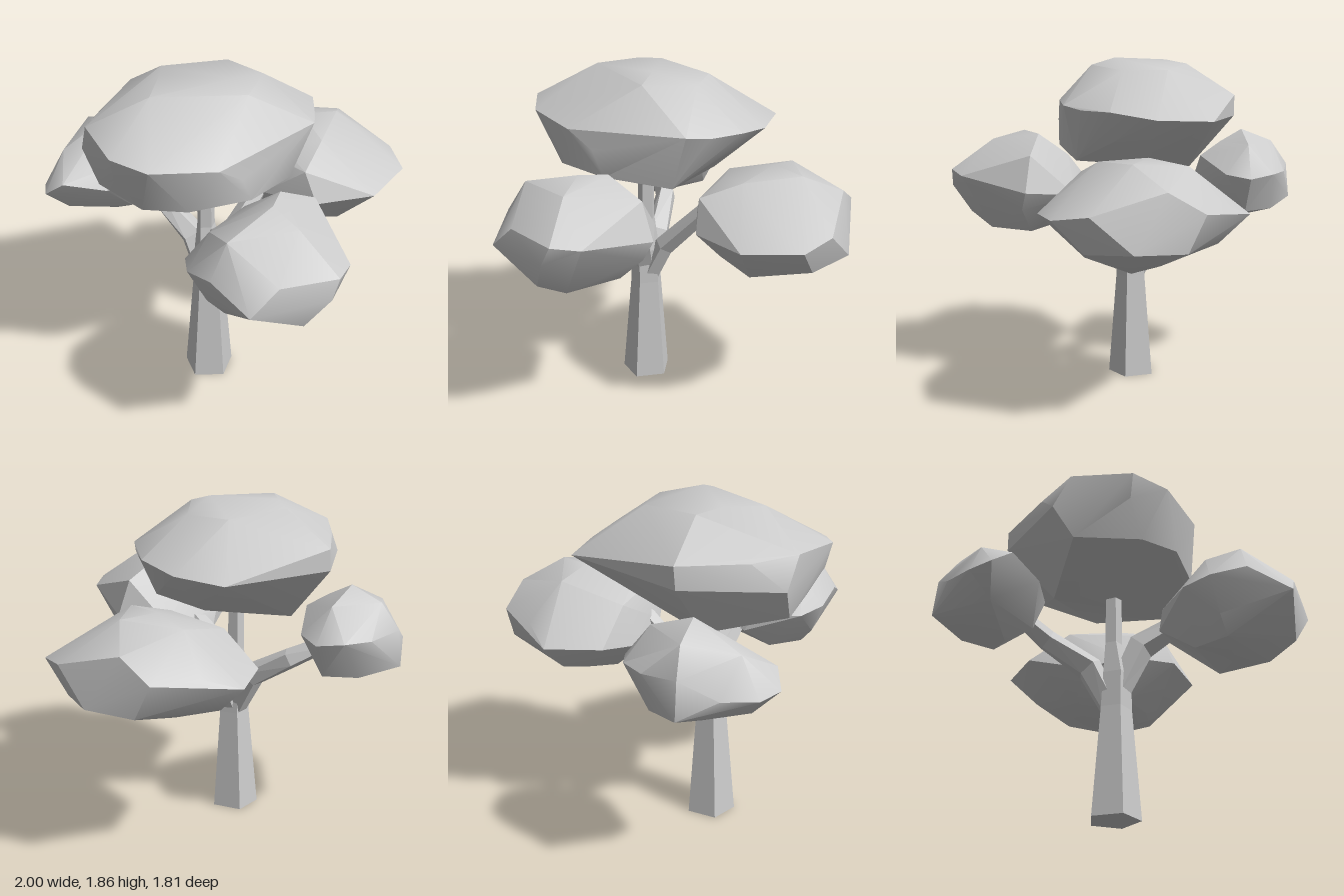
import * as THREE from 'three';
import { ConvexGeometry } from 'three/addons/geometries/ConvexGeometry.js';
import { toCreasedNormals } from 'three/addons/utils/BufferGeometryUtils.js';

const SIDES = 5;
const V = (x, y, z) => new THREE.Vector3(x, y, z);

// Tapered five-sided limb through [x, y, z, radius] stations, capped at both ends
function limb(stations) {
  const centres = stations.map(([x, y, z]) => V(x, y, z));
  const pos = [], index = [];
  const last = stations.length - 1;
  stations.forEach((s, i) => {
    const dir = centres[Math.min(i + 1, last)].clone().sub(centres[Math.max(i - 1, 0)]).normalize();
    if (i === 0 && s[1] === 0) dir.set(0, 1, 0); // flat on the ground
    const q = new THREE.Quaternion().setFromUnitVectors(V(0, 1, 0), dir);
    for (let k = 0; k < SIDES; k++) {
      const a = 1.35 + (k / SIDES) * Math.PI * 2;
      const p = V(Math.cos(a) * s[3], 0, Math.sin(a) * s[3]).applyQuaternion(q).add(centres[i]);
      pos.push(p.x, p.y, p.z);
    }
  });
  for (let i = 0; i < last; i++) {
    for (let k = 0; k < SIDES; k++) {
      const a = i * SIDES + k, b = i * SIDES + (k + 1) % SIDES;
      index.push(a, a + SIDES, b, b, a + SIDES, b + SIDES);
    }
  }
  const top = last * SIDES;
  for (let k = 1; k < SIDES - 1; k++) {
    index.push(0, k, k + 1, top, top + k + 1, top + k);
  }
  const g = new THREE.BufferGeometry();
  g.setAttribute('position', new THREE.Float32BufferAttribute(pos, 3));
  g.setIndex(index);
  g.computeVertexNormals();
  return g;
}

// Faceted leaf clump wrapped around a few corner points
function clump(points) {
  const g = new ConvexGeometry(points.map((p) => V(...p)));
  return toCreasedNormals(g, 0.55);
}

const LIMBS = {
  trunk: [[-0.04, 0, 0.295, 0.14], [-0.035, 0.6, 0.285, 0.09], [-0.03, 0.8, 0.285, 0.082],
    [-0.045, 0.98, 0.285, 0.05], [-0.045, 1.4, 0.28, 0.045]],
  leftBranch: [[-0.02, 0.7, 0.29, 0.065], [0.1, 0.97, 0.29, 0.08], [0.38, 1.15, 0.36, 0.05]],
  rightBranch: [[-0.05, 0.6, 0.28, 0.06], [-0.17, 0.84, 0.27, 0.075], [-0.4, 0.98, 0.3, 0.06],
    [-0.58, 1.08, 0.42, 0.045]],
  backBranch: [[-0.03, 0.62, 0.27, 0.06], [-0.02, 0.83, 0.165, 0.06], [0, 1.1, -0.1, 0.05], [0, 1.2, -0.25, 0.04]],
};

const CLUMPS = {
  topFoliage: [
    [0.07, 1.86, 0.19], [-0.24, 1.84, 0.4], [-0.35, 1.82, 0.3], [0.2, 1.82, 0.2], [-0.1, 1.83, 0.58],
    [-0.2, 1.8, -0.03], [0.05, 1.8, -0.05],
    [-0.63, 1.64, 0.29], [-0.63, 1.52, 0.3], [-0.46, 1.64, 0.62], [-0.41, 1.5, 0.79], [-0.32, 1.67, 0.82],
    [-0.01, 1.65, 0.91], [-0.02, 1.52, 0.88], [0.18, 1.62, 0.83], [0.37, 1.6, 0.55], [0.38, 1.5, 0.41],
    [0.37, 1.62, -0.1], [0.28, 1.6, -0.2], [0.14, 1.6, -0.33], [-0.1, 1.56, -0.38], [-0.4, 1.55, -0.36],
    [-0.48, 1.55, 0.05],
    [-0.3, 1.33, 0.78], [0.05, 1.34, 0.78], [0.25, 1.36, 0.65], [0.1, 1.26, 0.4], [0.38, 1.36, 0.35],
    [0.3, 1.31, 0], [-0.1, 1.31, -0.1], [-0.37, 1.21, 0.35],
  ],
  leftFoliage: [
    [0.58, 1.44, 0.4], [0.5, 1.43, 0.27], [0.76, 1.39, 0.4], [0.58, 1.37, 0.7], [0.55, 1.33, 0.07],
    [0.33, 1.3, 0.35], [0.4, 1.32, 0.65],
    [0.58, 1.13, 0], [0.72, 1.2, 0.12], [0.94, 1.2, 0.23], [1, 1.22, 0.37], [1, 1.12, 0.42],
    [0.87, 1.23, 0.64], [0.82, 1.1, 0.78], [0.58, 1.2, 0.81], [0.39, 1.15, 0.79], [0.27, 1.12, 0.7],
    [0.2, 1.12, 0.45], [0.19, 1.02, 0.4], [0.3, 1.1, 0.1],
    [0.9, 0.95, 0.5], [0.78, 0.87, 0.4], [0.58, 0.85, 0.45], [0.36, 0.88, 0.5], [0.5, 0.88, 0.65],
    [0.55, 0.88, 0.2], [0.6, 1.03, 0.05], [0.45, 0.97, 0.72],
  ],
  rightFoliage: [
    [-0.7, 1.43, 0.42], [-0.88, 1.36, 0.42], [-0.57, 1.36, 0.4], [-0.7, 1.36, 0.2], [-0.76, 1.3, 0.68],
    [-0.98, 1.22, 0.44], [-0.92, 1.2, 0.24], [-0.83, 1.2, 0.11], [-0.69, 1.18, 0.06], [-0.56, 1.2, 0.13],
    [-0.45, 1.28, 0.38], [-0.42, 1.12, 0.46], [-0.46, 1.15, 0.63], [-0.6, 1.2, 0.81], [-0.7, 1.12, 0.86],
    [-0.81, 1.1, 0.79], [-0.92, 1.12, 0.63],
    [-1, 1.02, 0.44], [-0.48, 0.97, 0.45], [-0.62, 0.89, 0.45], [-0.78, 0.94, 0.5], [-0.7, 0.98, 0.72],
    [-0.85, 0.98, 0.25], [-0.68, 0.98, 0.16],
  ],
  backFoliage: [
    [-0.05, 1.38, -0.45], [0.05, 1.37, -0.63], [0.2, 1.35, -0.35], [-0.25, 1.34, -0.5], [0.05, 1.31, -0.2],
    [-0.25, 1.25, -0.14], [0.28, 1.27, -0.14],
    [-0.58, 1.08, -0.45], [-0.43, 1.15, -0.61], [-0.29, 1.15, -0.83], [-0.1, 1.26, -0.82], [0.07, 0.97, -0.9],
    [0.28, 1.15, -0.85], [0.46, 1.12, -0.75], [0.52, 1.1, -0.44], [0.36, 1.1, -0.15], [-0.48, 1.08, -0.16],
    [0.05, 1.08, -0.05], [-0.15, 1, -0.06],
    [-0.2, 0.96, -0.84], [0.3, 0.95, -0.76], [-0.42, 0.92, -0.42], [-0.12, 0.8, -0.4], [0.08, 0.78, -0.4],
    [0.05, 0.8, -0.55], [0.28, 0.86, -0.42], [0.1, 0.87, -0.2], [-0.2, 0.88, -0.2],
  ],
};

export function createModel() {
  const tree = new THREE.Group();
  tree.name = 'tree';
  const bark = new THREE.MeshStandardMaterial({ color: 0xcccccc, flatShading: true });
  const leaf = new THREE.MeshStandardMaterial({ color: 0xcccccc });
  const add = (name, geometry, material) => {
    const mesh = new THREE.Mesh(geometry, material);
    mesh.name = name;
    tree.add(mesh);
  };
  // Trunk with three branches
  for (const [name, stations] of Object.entries(LIMBS)) add(name, limb(stations), bark);
  // Leaf clumps, one on each limb
  for (const [name, points] of Object.entries(CLUMPS)) add(name, clump(points), leaf);
  return tree;
}
